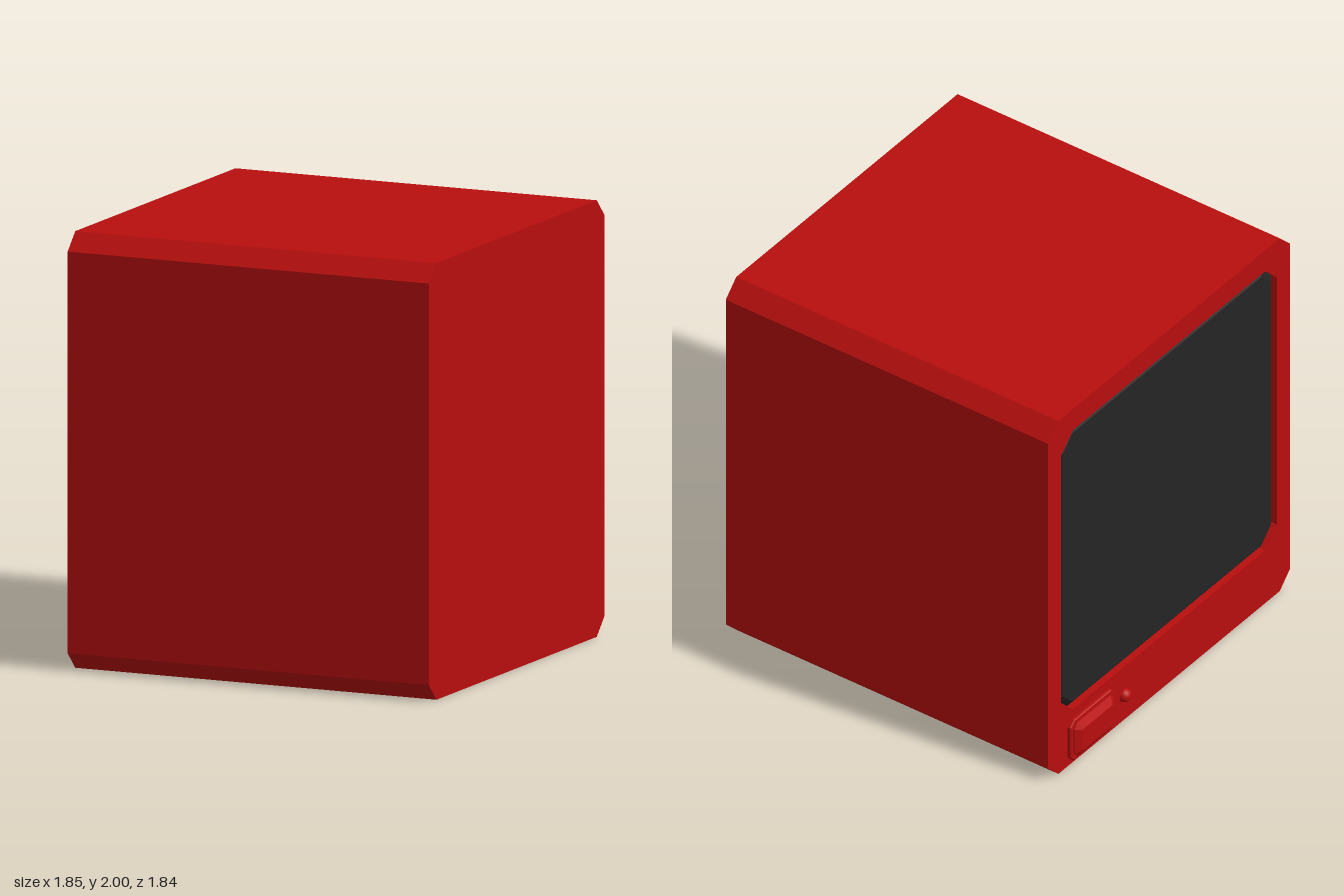
import * as THREE from 'three';

const red = new THREE.MeshStandardMaterial({ color: 0xb80e0e, flatShading: true });
const dark = new THREE.MeshStandardMaterial({ color: 0x242424, flatShading: true });

// Rectangle with cut corners; u runs along z, v along y
function cutRect(u0, u1, v0, v1, c, Type = THREE.Shape) {
  const corners = [
    [u0 + c, v0], [u1 - c, v0], [u1, v0 + c], [u1, v1 - c],
    [u1 - c, v1], [u0 + c, v1], [u0, v1 - c], [u0, v0 + c],
  ];
  return new Type(corners.map(([u, v]) => new THREE.Vector2(u, v)));
}

// Slab reaching from xBack towards -x to xFront, with an optional bevelled rim
function slab(name, shape, xBack, xFront, material, bevel = 0, rise = bevel) {
  const geometry = new THREE.ExtrudeGeometry(shape, {
    depth: xBack - xFront - rise,
    bevelEnabled: bevel > 0,
    bevelSize: bevel,
    bevelOffset: -bevel,
    bevelThickness: rise,
    bevelSegments: 1,
  });
  geometry.rotateY(-Math.PI / 2);
  geometry.translate(xBack, 0, 0);
  const mesh = new THREE.Mesh(geometry, material);
  mesh.name = name;
  return mesh;
}

export function createModel() {
  const model = new THREE.Group();
  model.name = 'monitor';
  const outline = () => cutRect(-0.92, 0.92, 0, 2, 0.08);

  // Cabinet
  model.add(slab('cabinet', outline(), 0.92, -0.8, red));

  // Face frame around the screen recess
  const frame = outline();
  frame.holes.push(cutRect(-0.82, 0.82, 0.3, 1.88, 0.09, THREE.Path));
  model.add(slab('screenFrame', frame, -0.8, -0.88, red));

  // Recessed screen with a bevelled edge
  const glass = cutRect(-0.82, 0.82, 0.3, 1.88, 0.09);
  model.add(slab('screen', glass, -0.78, -0.868, dark, 0.03, 0.022));

  // Power button on its raised plate
  const button = new THREE.Group();
  button.name = 'powerButton';
  button.add(slab('buttonPlate', cutRect(-0.77, -0.43, 0.02, 0.25, 0.03), -0.86, -0.897, red, 0.005));
  button.add(slab('buttonCap', cutRect(-0.75, -0.45, 0.04, 0.23, 0.025), -0.86, -0.925, red, 0.035, 0.022));
  model.add(button);

  // Indicator light
  const light = new THREE.Mesh(
    new THREE.SphereGeometry(0.034, 16, 12),
    new THREE.MeshStandardMaterial({ color: 0xb80e0e }),
  );
  light.name = 'indicatorLight';
  light.position.set(-0.88, 0.14, -0.34);
  model.add(light);

  return model;
}
